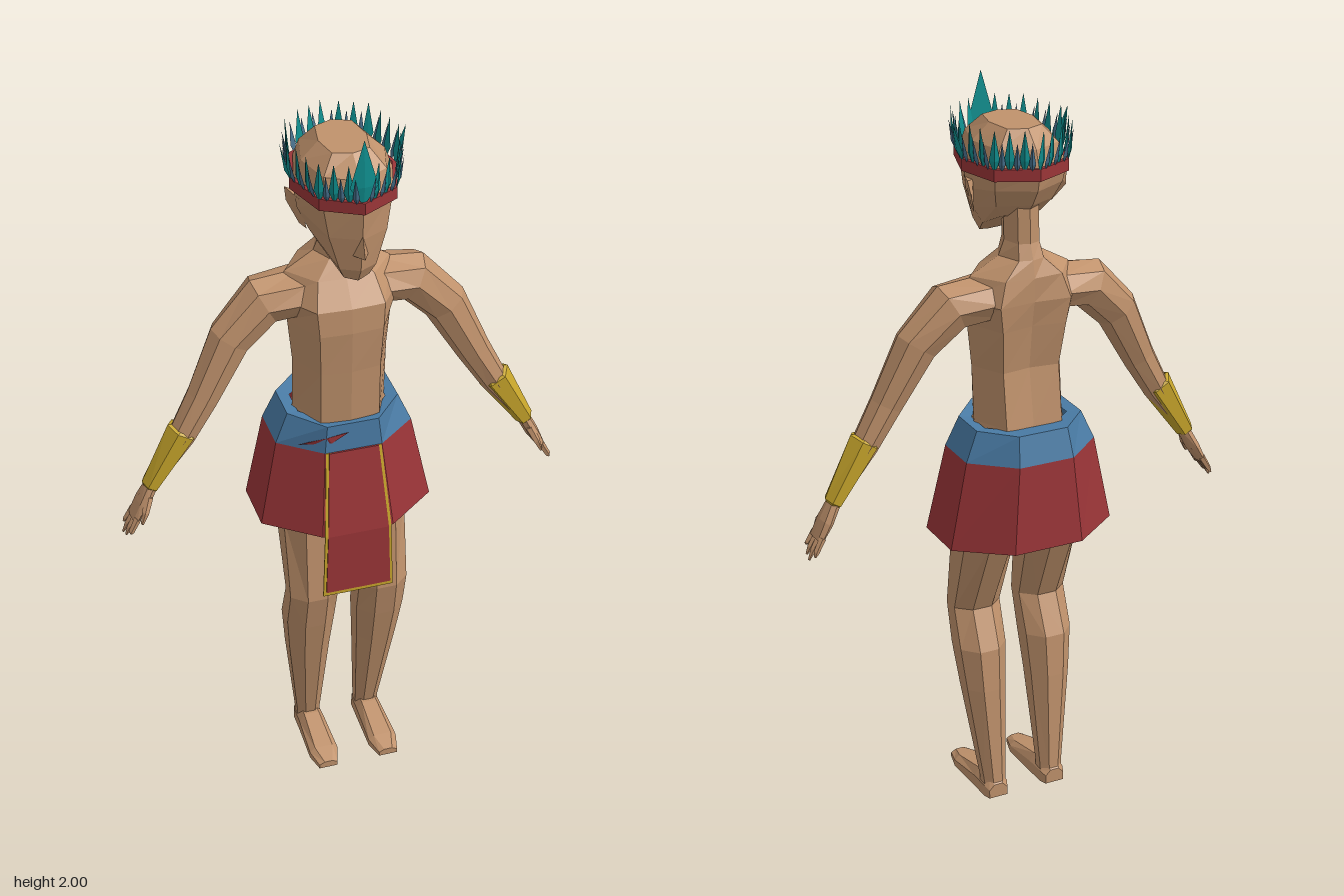
import * as THREE from 'three';
import { ConvexGeometry } from 'three/addons/geometries/ConvexGeometry.js';

const mat = (color) => new THREE.MeshStandardMaterial({ color, flatShading: true, side: THREE.DoubleSide });
const V = (x, y, z) => new THREE.Vector3(x, y, z);
const middle = (pts) => pts.reduce((sum, p) => sum.add(p), V(0, 0, 0)).divideScalar(pts.length);

// Skin a row of equal-length rings; faces are turned outward by signed volume.
function loft(rings, capped = true) {
  const n = rings[0].length, tris = [];
  for (let i = 0; i + 1 < rings.length; i++) {
    for (let j = 0; j < n; j++) {
      const k = (j + 1) % n, a = rings[i], b = rings[i + 1];
      tris.push([a[j], a[k], b[k]], [a[j], b[k], b[j]]);
    }
  }
  if (capped) {
    const a = rings[0], b = rings[rings.length - 1], ca = middle(a), cb = middle(b);
    for (let j = 0; j < n; j++) {
      const k = (j + 1) % n;
      tris.push([a[k], a[j], ca], [b[j], b[k], cb]);
    }
  }
  const o = middle(rings.flat());
  let volume = 0;
  for (const [a, b, c] of tris) {
    volume += a.clone().sub(o).dot(b.clone().sub(o).cross(c.clone().sub(o)));
  }
  const pts = tris.flatMap(([a, b, c]) => (volume < 0 ? [a, c, b] : [a, b, c]));
  const g = new THREE.BufferGeometry().setFromPoints(pts);
  g.computeVertexNormals();
  return g;
}

// Complete a half outline (front centre to back centre) by mirroring in x.
const mirrored = (half) => [...half, ...half.slice(1, -1).reverse().map((p) => V(-p.x, p.y, p.z))];
const level = (y, half) => mirrored(half.map(([x, z]) => V(x, y, z)));

// Oval rings along a limb in the xy plane: [x, y, radius across, radius in z, z centre].
function limb(stations, s, sides = 8) {
  return stations.map(([x, y, rp, rz, zc = 0], i) => {
    const a = stations[Math.max(0, i - 1)], b = stations[Math.min(stations.length - 1, i + 1)];
    const len = Math.hypot(b[0] - a[0], b[1] - a[1]);
    const px = -(b[1] - a[1]) / len, py = (b[0] - a[0]) / len;
    return Array.from({ length: sides }, (_, j) => {
      const t = (j / sides) * Math.PI * 2, c = Math.cos(t) * rp;
      return V(s * (x + px * c), y + py * c, zc + Math.sin(t) * rz);
    });
  });
}

export function createModel() {
  const root = new THREE.Group();
  const skin = mat(0xc0926c), red = mat(0x9b3538), blue = mat(0x4a7ca6);
  const gold = mat(0xc9a72c), teal = mat(0x0f9090), slate = mat(0x47708c);
  const add = (name, geometry, material, parent = root) => {
    const m = new THREE.Mesh(geometry, material);
    m.name = name;
    parent.add(m);
  };

  // Torso and neck
  add('torso', loft([
    level(0.84, [[0, 0.05], [0.08, 0.07], [0.14, -0.02], [0.08, -0.12], [0, -0.1]]),
    level(1.0, [[0, 0.08], [0.09, 0.08], [0.155, -0.02], [0.09, -0.14], [0, -0.13]]),
    level(1.13, [[0, 0.095], [0.08, 0.085], [0.127, -0.02], [0.08, -0.12], [0, -0.115]]),
    level(1.28, [[0, 0.1], [0.08, 0.09], [0.128, -0.01], [0.08, -0.1], [0, -0.09]]),
    level(1.4, [[0, 0.105], [0.085, 0.1], [0.14, -0.01], [0.09, -0.12], [0, -0.105]]),
    level(1.47, [[0, 0.1], [0.09, 0.095], [0.17, -0.02], [0.1, -0.128], [0, -0.118]]),
    level(1.535, [[0, 0.055], [0.075, 0.05], [0.14, -0.03], [0.08, -0.115], [0, -0.12]]),
    level(1.58, [[0, 0.025], [0.035, 0.02], [0.062, -0.035], [0.035, -0.1], [0, -0.11]]),
    level(1.62, [[0, 0.02], [0.03, 0.01], [0.046, -0.035], [0.03, -0.085], [0, -0.095]]),
    level(1.73, [[0, 0.03], [0.03, 0.02], [0.046, -0.03], [0.03, -0.08], [0, -0.09]]),
  ]), skin);

  // Head with a sloping jaw line
  const ring = (half) => mirrored(half.map((p) => V(...p)));
  add('head', loft([
    ring([[0, 1.585, 0.148], [0.033, 1.592, 0.135], [0.07, 1.645, 0.04], [0.055, 1.685, -0.04], [0, 1.69, -0.07]]),
    ring([[0, 1.625, 0.17], [0.048, 1.625, 0.145], [0.095, 1.69, 0.04], [0.08, 1.72, -0.06], [0, 1.725, -0.105]]),
    ring([[0, 1.72, 0.182], [0.075, 1.72, 0.145], [0.122, 1.75, 0.03], [0.095, 1.77, -0.085], [0, 1.77, -0.135]]),
    level(1.815, [[0, 0.19], [0.09, 0.14], [0.13, 0.02], [0.1, -0.095], [0, -0.145]]),
    level(1.875, [[0, 0.165], [0.08, 0.12], [0.108, 0.02], [0.082, -0.085], [0, -0.125]]),
    level(1.918, [[0, 0.1], [0.048, 0.085], [0.062, 0.015], [0.048, -0.06], [0, -0.08]]),
  ]), skin);
  add('nose', new ConvexGeometry([V(0, 1.74, 0.18), V(0, 1.675, 0.204), V(0.02, 1.67, 0.165),
    V(-0.02, 1.67, 0.165), V(0, 1.66, 0.17)]), skin);

  // Limbs, one pass per side
  for (const s of [1, -1]) {
    const side = s > 0 ? 'left' : 'right';
    add(side + 'Ear', new ConvexGeometry([[0.1, 1.69, 0.04], [0.12, 1.78, 0.045], [0.14, 1.785, -0.02],
      [0.133, 1.74, -0.03], [0.11, 1.69, 0.005], [0.115, 1.78, 0]].map(([x, y, z]) => V(s * x, y, z))), skin);

    add(side + 'Arm', loft(limb([
      [0.09, 1.475, 0.06, 0.085, -0.03], [0.2, 1.462, 0.068, 0.07, -0.03], [0.29, 1.37, 0.06, 0.055, -0.02],
      [0.37, 1.215, 0.046, 0.042, -0.005], [0.43, 1.11, 0.038, 0.037], [0.517, 0.973, 0.018, 0.024],
      [0.545, 0.92, 0.018, 0.036], [0.57, 0.875, 0.012, 0.036],
    ], s)), skin);

    // Fingers and thumb
    const hand = new THREE.Group();
    hand.name = side + 'Fingers';
    root.add(hand);
    for (let f = 0; f < 4; f++) {
      const z = (f - 1.5) * 0.018, tip = 0.008 * Math.abs(f - 1.3);
      add('finger', loft(limb([[0.565, 0.885, 0.01, 0.01, z], [0.585, 0.85, 0.008, 0.009, z * 1.15],
        [0.601 - tip, 0.818 + tip * 2, 0.003, 0.004, z * 1.3]], s, 5)), skin, hand);
    }
    add('thumb', loft(limb([[0.53, 0.945, 0.012, 0.012, 0.02], [0.546, 0.91, 0.01, 0.01, 0.04],
      [0.558, 0.88, 0.004, 0.005, 0.047]], s, 5)), skin, hand);

    // Flared wrist guard with turned-in rims
    add(side + 'Bracer', loft(limb([[0.426, 1.128, 0.036, 0.036], [0.429, 1.123, 0.045, 0.043],
      [0.522, 0.969, 0.025, 0.031], [0.525, 0.964, 0.018, 0.024]], s, 6), false), gold);

    // Leg: [y, inner x, outer x, front z, back z]
    add(side + 'Leg', loft([
      [0.98, 0.012, 0.15, 0.07, -0.13], [0.8, 0.018, 0.17, 0.095, -0.115], [0.56, 0.03, 0.166, 0.112, -0.005],
      [0.45, 0.032, 0.167, 0.088, -0.053], [0.33, 0.04, 0.155, 0.058, -0.062], [0.05, 0.054, 0.12, -0.01, -0.075],
      [0.01, 0.054, 0.12, -0.01, -0.078],
    ].map(([y, xi, xo, zf, zb]) => Array.from({ length: 8 }, (_, j) => {
      const t = ((j + 0.5) / 8) * Math.PI * 2, k = 1 / Math.cos(Math.PI / 8);
      return V(s * ((xi + xo) / 2 + Math.cos(t) * k * (xo - xi) / 2), y, (zf + zb) / 2 + Math.sin(t) * k * (zf - zb) / 2);
    }))), skin);

    // Foot: [z, inner x, outer x, top y]
    add(side + 'Foot', loft([[-0.08, 0.06, 0.115, 0.04], [-0.06, 0.052, 0.122, 0.055], [0, 0.05, 0.123, 0.055],
      [0.12, 0.047, 0.128, 0.032], [0.172, 0.062, 0.115, 0.02]].map(([z, xi, xo, h]) => [
      V(s * xi, 0, z), V(s * xo, 0, z), V(s * xo, h * 0.6, z), V(s * (xo - 0.015), h, z),
      V(s * (xi + 0.015), h, z), V(s * xi, h * 0.6, z)])), skin);
  }

  // Skirt and belt, eight-sided and open below
  const octagon = (y, w, side, zf, zb, sf, sb) => [[w, zf], [side, sf], [side, sb], [w, zb],
    [-w, zb], [-side, sb], [-side, sf], [-w, zf]].map(([x, z]) => V(x, y, z));
  const beltLow = octagon(1.05, 0.078, 0.187, 0.116, -0.192, 0.03, -0.1);
  add('skirt', loft([octagon(0.81, 0.098, 0.236, 0.158, -0.207, 0.05, -0.105), beltLow], false), red);
  add('belt', loft([beltLow, octagon(1.13, 0.07, 0.152, 0.112, -0.172, 0.02, -0.09),
    octagon(1.125, 0.06, 0.12, 0.085, -0.12, 0.01, -0.07)], false), blue);
  add('beltTie', new ConvexGeometry([V(-0.14, 1.064, 0.075), V(-0.06, 1.08, 0.117), V(-0.012, 1.108, 0.119),
    V(-0.07, 1.098, 0.116), V(-0.06, 1.085, 0.105)]), red);

  // Front apron with a gold border
  const apron = [[1.05, 0.076, 0.118], [0.81, 0.092, 0.161], [0.612, 0.098, 0.161]];
  const panel = (inset, dz, rise) => loft(apron.map(([y, w, z], i) => {
    const x = w - inset, h = i === 2 ? y + rise : y;
    return [V(-x, h, z + dz), V(x, h, z + dz), V(x, h, z - 0.004), V(-x, h, z - 0.004)];
  }));
  add('apronBorder', panel(0, 0, 0), gold);
  add('apron', panel(0.008, 0.003, 0.012), red);

  // Headband, pointed at the front
  const outline = [[0, 0.2], [0.1, 0.145], [0.138, 0.02], [0.105, -0.1], [0, -0.15]];
  const scaled = (y, k) => level(y, outline.map(([x, z]) => [x * k, 0.02 + (z - 0.02) * k]));
  add('headband', loft([scaled(1.8, 0.92), scaled(1.8, 1), scaled(1.832, 1), scaled(1.832, 0.92)], false), red);

  // Crown of feathers fanning slightly outward
  const crown = new THREE.Group();
  crown.name = 'featherCrown';
  root.add(crown);
  const feather = (x, z, dx, dz, w, h, lean, material) => {
    const base = V(x, 1.82, z), out = V(dx, 0, dz), along = V(-dz, 0, dx);
    const mid = base.clone().addScaledVector(out, lean * 0.4).setY(1.82 + h * 0.3);
    const tip = base.clone().addScaledVector(out, lean).setY(1.82 + h);
    add('feather', new ConvexGeometry([base, tip, mid.clone().addScaledVector(along, w),
      mid.clone().addScaledVector(along, -w), mid.clone().addScaledVector(out, 0.006)]), material, crown);
  };
  const path = scaled(1.82, 0.97);
  path.forEach((a, i) => {
    const b = path[(i + 1) % path.length], d = b.clone().sub(a).normalize();
    for (let j = 0; j < 6; j++) {
      if (i + j === 0) continue;
      const p = a.clone().lerp(b, j / 6), big = j % 2 === 0;
      feather(p.x, p.z, -d.z, d.x, big ? 0.014 : 0.009, big ? 0.115 : 0.085, big ? 0.012 : 0.02, big ? teal : slate);
    }
  });
  for (const s of [1, -1]) feather(s * 0.132, 0.02, s, 0, 0.024, 0.11, 0.03, teal);
  feather(0, 0.19, 0, 1, 0.036, 0.18, 0.001, teal);

  return root;
}
